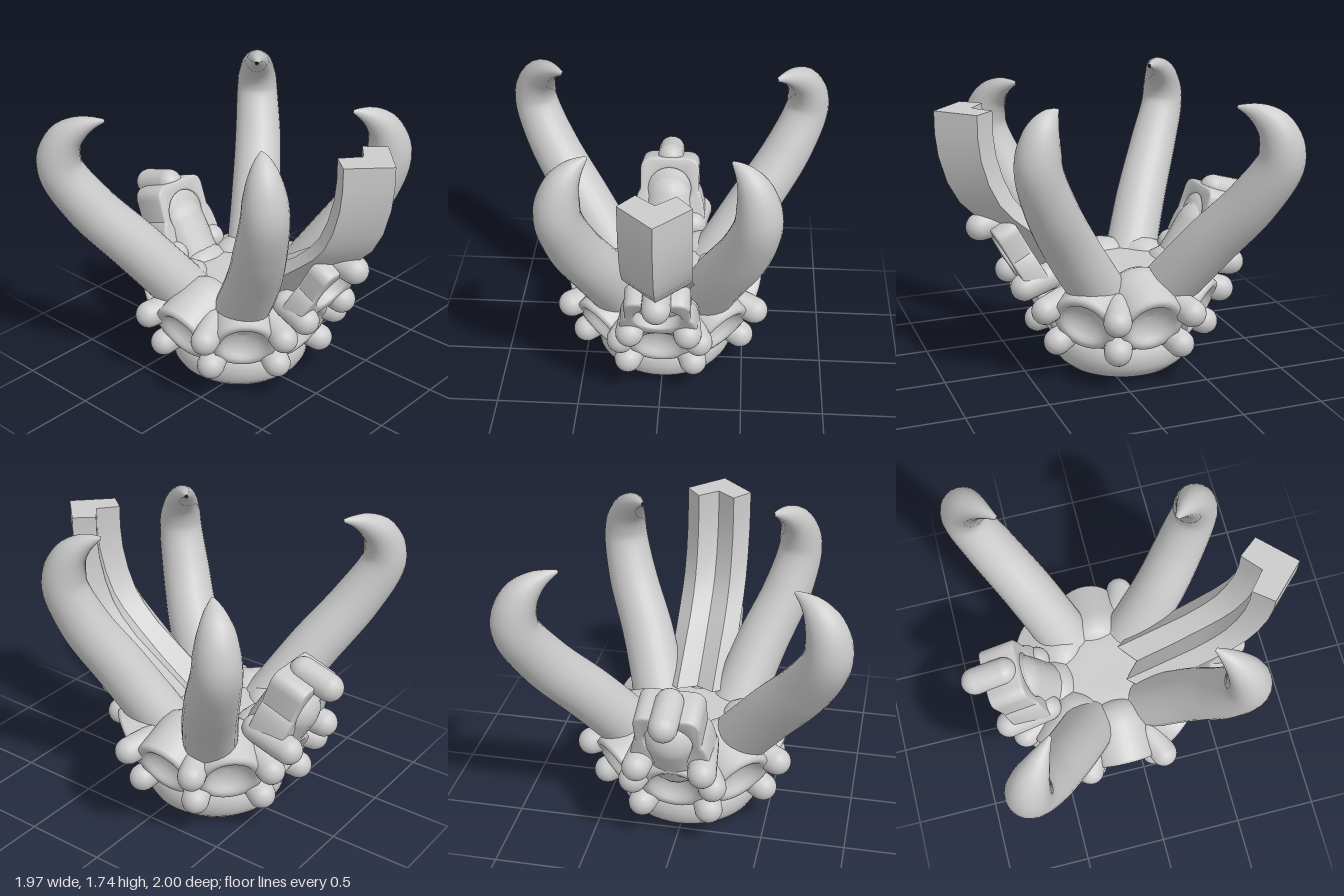
import * as THREE from 'three';
import { toCreasedNormals } from 'three/addons/utils/BufferGeometryUtils.js';

const grey = new THREE.MeshStandardMaterial({ color: 0xcccccc });
const CZ = -0.13; // centre of the round body
const V3 = (x, y, z) => new THREE.Vector3(x, y, z);

function add(parent, name, geometry) {
  const mesh = new THREE.Mesh(geometry, grey);
  mesh.name = name;
  parent.add(mesh);
  return mesh;
}

function lathe(profile, segments) {
  return new THREE.LatheGeometry(profile.map(([x, y]) => new THREE.Vector2(x, y)), segments);
}

// Round-ended stud running between two points
function stud(parent, name, from, to, radius) {
  const mesh = add(parent, name, new THREE.CapsuleGeometry(radius, from.distanceTo(to), 8, 18));
  mesh.position.copy(from).lerp(to, 0.5);
  mesh.quaternion.setFromUnitVectors(V3(0, 1, 0), to.clone().sub(from).normalize());
}

// Tapered tusk: a tube through [x, y, z, radius] points, mirrored by side
function tusk(parent, name, side, points) {
  const curve = new THREE.CatmullRomCurve3(points.map(([x, y, z]) => V3(side * x, y, z)));
  const rings = 56, sides = 24, last = points.length - 1;
  const geo = new THREE.TubeGeometry(curve, rings, 1, sides);
  const pos = geo.attributes.position, v = V3();
  for (let i = 0; i <= rings; i++) {
    const at = THREE.MathUtils.clamp(curve.getUtoTmapping(i / rings), 0, 1) * last;
    const n = Math.min(Math.floor(at), last - 1);
    const radius = THREE.MathUtils.lerp(points[n][3], points[n + 1][3], at - n);
    const centre = curve.getPointAt(i / rings);
    for (let j = 0; j <= sides; j++) {
      const k = i * (sides + 1) + j;
      v.fromBufferAttribute(pos, k).sub(centre).multiplyScalar(radius).add(centre);
      pos.setXYZ(k, v.x, v.y, v.z);
    }
  }
  add(parent, name, geo);
}

// Chevron-section blade, from [outerZ, outerY, innerZ, innerY] stations
function blade(stations) {
  const pos = [], idx = [];
  for (const [oz, oy, iz, iy] of stations) {
    for (const [x, t] of [[0, 0], [0.2, 0.64], [0.11, 1], [0, 0.7], [-0.11, 1], [-0.2, 0.64]]) {
      pos.push(x, oy + (iy - oy) * t, oz + (iz - oz) * t);
    }
  }
  for (let i = 0; i < stations.length - 1; i++) {
    for (let j = 0; j < 6; j++) {
      const a = i * 6 + j, b = i * 6 + (j + 1) % 6;
      idx.push(a, b, b + 6, a, b + 6, a + 6);
    }
  }
  const top = (stations.length - 1) * 6;
  for (const [a, b] of [[4, 5], [5, 0], [0, 1], [1, 2]]) idx.push(top + 3, top + a, top + b);
  const geo = new THREE.BufferGeometry();
  geo.setAttribute('position', new THREE.Float32BufferAttribute(pos, 3));
  geo.setIndex(idx);
  return toCreasedNormals(geo, 0.5);
}

// Upper arched socket plate with a round opening and a dished back
function archSocket(parent, name, y, z, tilt, depth) {
  const group = new THREE.Group();
  group.name = name;
  group.position.set(0, y, z);
  group.rotation.x = tilt;
  parent.add(group);
  const s = new THREE.Shape();
  s.moveTo(-0.22, -0.2);
  s.lineTo(0.22, -0.2);
  s.quadraticCurveTo(0.21, -0.06, 0.175, -0.02);
  s.lineTo(0.175, 0.12);
  s.quadraticCurveTo(0.175, 0.185, 0.11, 0.185);
  s.lineTo(-0.11, 0.185);
  s.quadraticCurveTo(-0.175, 0.185, -0.175, 0.12);
  s.lineTo(-0.175, -0.02);
  s.quadraticCurveTo(-0.21, -0.06, -0.22, -0.2);
  const hole = new THREE.Path();
  hole.absarc(0, -0.005, 0.152, 0, Math.PI * 2, true);
  s.holes.push(hole);
  const geo = new THREE.ExtrudeGeometry(s, {
    depth, bevelThickness: 0.014, bevelSize: 0.014, bevelSegments: 3, curveSegments: 20,
  });
  add(group, 'archPlate', toCreasedNormals(geo, 0.6)).position.z = -depth;
  const back = add(group, 'archBack', lathe([[0, -depth - 0.01], [0.155, -depth], [0.155, -0.05], [0.11, -0.085], [0, -0.1]], 28));
  back.rotation.x = Math.PI / 2;
}

export function createModel() {
  const model = new THREE.Group();
  model.name = 'tuskedCrown';

  // Round body: foot, core and ring of sockets
  const body = new THREE.Group();
  body.name = 'body';
  body.position.z = CZ;
  model.add(body);
  add(body, 'foot', lathe([[0, 0.012], [0.2, 0.006], [0.26, 0], [0.31, 0.006], [0.36, 0.025], [0.4, 0.06],
    [0.423, 0.1], [0.43, 0.15], [0.425, 0.2], [0.4, 0.25], [0.3, 0.28]], 48));
  add(body, 'core', lathe([[0.3, 0.2], [0.41, 0.22], [0.43, 0.28], [0.44, 0.38], [0.45, 0.48], [0.44, 0.55],
    [0.38, 0.61], [0.28, 0.645], [0.15, 0.65], [0, 0.645]], 40));

  const cup = lathe([[0, -0.4], [0.08, -0.395], [0.14, -0.37], [0.18, -0.32], [0.195, -0.25], [0.197, -0.02],
    [0.19, 0], [0.165, 0.004], [0.145, -0.004], [0.13, -0.025], [0.1, -0.055], [0.05, -0.075], [0, -0.08]], 36);
  for (let i = 0; i < 8; i++) {
    const sector = new THREE.Group();
    sector.name = 'socketSector';
    sector.rotation.y = i * Math.PI / 4;
    body.add(sector);
    const socket = add(sector, 'socket', cup);
    socket.position.set(0, 0.412, 0.53);
    socket.rotation.x = Math.PI / 2 + 0.4;
    // Studs stand between neighbouring sockets
    const studs = new THREE.Group();
    studs.name = 'studPair';
    studs.rotation.y = Math.PI / 8;
    sector.add(studs);
    stud(studs, 'upperStud', V3(0, 0.51, 0.45), V3(0, 0.475, 0.61), 0.083);
    stud(studs, 'lowerStud', V3(0, 0.31, 0.38), V3(0, 0.255, 0.52), 0.083);
    stud(studs, 'web', V3(0, 0.3, 0.42), V3(0, 0.47, 0.49), 0.06);
  }

  // Front and rear upper sockets with their studs
  archSocket(model, 'frontUpperSocket', 0.79, 0.61, 0.5, 0.11);
  stud(model, 'frontTopStud', V3(0, 0.975, 0.66), V3(0, 0.96, 0.755), 0.083);
  const rear = new THREE.Group();
  rear.name = 'rearUpperGroup';
  rear.rotation.y = Math.PI;
  model.add(rear);
  archSocket(rear, 'rearUpperSocket', 0.83, 0.79, 0.33, 0.2);
  stud(rear, 'rearTopStud', V3(0, 1.05, 0.74), V3(0, 1.0, 0.915), 0.083);
  stud(rear, 'rearStrut', V3(0, 0.57, 0.53), V3(0, 0.8, 0.67), 0.17);

  for (const side of [-1, 1]) {
    const label = side > 0 ? 'left' : 'right';
    stud(model, label + 'FrontMiddleStud', V3(side * 0.15, 0.66, 0.38), V3(side * 0.17, 0.615, 0.54), 0.083);
    // The rear group is turned round, so its sides swap
    stud(rear, (side > 0 ? 'right' : 'left') + 'RearMiddleStud', V3(side * 0.16, 0.67, 0.53), V3(side * 0.19, 0.625, 0.78), 0.083);
    tusk(model, label + 'FrontTusk', side, [[0.23, 0.52, 0.08, 0.165], [0.36, 0.88, 0.31, 0.16], [0.49, 1.18, 0.475, 0.15],
      [0.55, 1.42, 0.56, 0.135], [0.545, 1.53, 0.555, 0.125], [0.518, 1.62, 0.525, 0.1], [0.475, 1.675, 0.48, 0.066],
      [0.435, 1.7, 0.438, 0.036], [0.4, 1.712, 0.4, 0.01]]);
    tusk(model, label + 'RearTusk', side, [[0.28, 0.52, -0.29, 0.165], [0.53, 0.88, -0.47, 0.16], [0.74, 1.18, -0.64, 0.15],
      [0.85, 1.42, -0.745, 0.135], [0.85, 1.53, -0.745, 0.126], [0.815, 1.62, -0.715, 0.104], [0.76, 1.675, -0.665, 0.07],
      [0.705, 1.7, -0.618, 0.038], [0.65, 1.71, -0.57, 0.01]]);
  }

  // Upright chevron blade at the front
  add(model, 'frontBlade', blade([[0.3, 0.6, -0.02, 0.69], [0.48, 0.74, 0.2, 0.83], [0.66, 0.94, 0.4, 0.96],
    [0.78, 1.03, 0.51, 1.06], [0.87, 1.12, 0.58, 1.15], [0.94, 1.25, 0.635, 1.27], [0.985, 1.41, 0.675, 1.41],
    [1.0, 1.54, 0.69, 1.54], [1.0, 1.67, 0.69, 1.67]]));

  return model;
}
